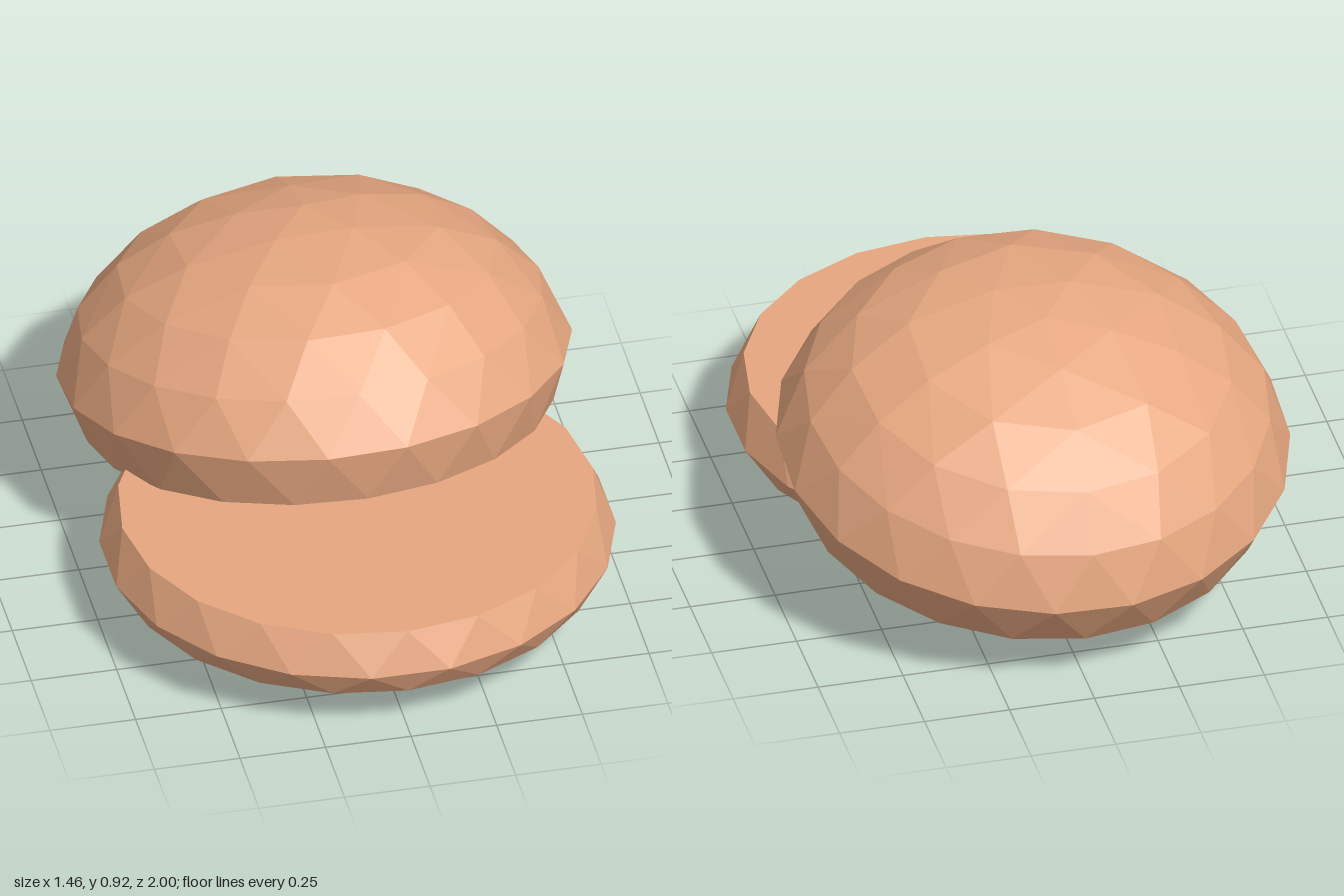
import * as THREE from 'three';
import { ConvexGeometry } from 'three/addons/geometries/ConvexGeometry.js';

const crust = new THREE.MeshStandardMaterial({ color: 0xe6a780, flatShading: true });

// Faceted half-bun: a flat cut ring, the widest ring, then rings that close
// towards the pole. Each ring is [corners, radius ratio, y].
function bunGeometry(radiusX, radiusZ, rings, poleY) {
  const points = [new THREE.Vector3(0, poleY, 0)];
  rings.forEach(([count, ratio, y], row) => {
    for (let i = 0; i < count; i++) {
      const a = ((i + (row % 2) / 2) / count) * Math.PI * 2;
      points.push(new THREE.Vector3(Math.sin(a) * radiusX * ratio, y, Math.cos(a) * radiusZ * ratio));
    }
  });
  return new ConvexGeometry(points);
}

export function createModel() {
  const group = new THREE.Group();
  group.name = 'openBun';

  // Shallow lower half lying flat
  const bottomRings = [[20, 0.93, 0.12], [20, 1, 0], [20, 0.935, -0.085], [15, 0.765, -0.145], [10, 0.53, -0.188], [5, 0.26, -0.21]];
  const bottomBun = new THREE.Mesh(bunGeometry(0.739, 0.72, bottomRings, -0.22), crust);
  bottomBun.name = 'bottomBun';
  bottomBun.position.set(0, 0.22, 0.29);
  group.add(bottomBun);

  // Domed upper half, slid back and tilted over the rear rim
  const topRings = [[20, 0.915, -0.165], [20, 1, 0], [20, 0.905, 0.157], [15, 0.74, 0.289], [10, 0.525, 0.385], [5, 0.26, 0.443]];
  const topBun = new THREE.Mesh(bunGeometry(0.739, 0.739, topRings, 0.463), crust);
  topBun.name = 'topBun';
  topBun.position.set(0, 0.447, -0.285);
  topBun.rotation.set(-0.202, 0, 0.03);
  group.add(topBun);

  return group;
}
